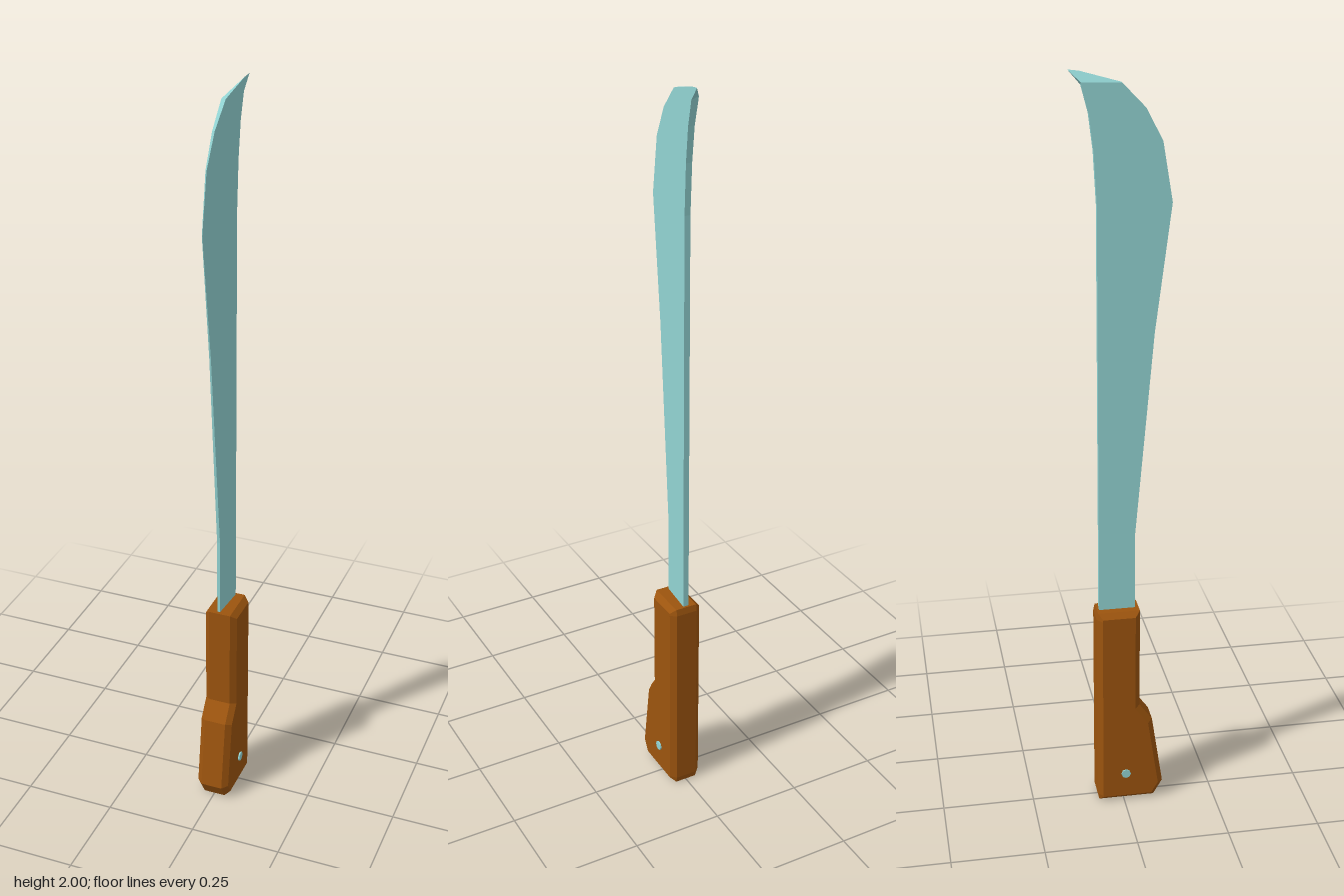
import * as THREE from 'three';

// Extrudes a side outline of [z, y] points across x, centred on x = 0
function sideExtrude(points, depth, options = {}) {
  const shape = new THREE.Shape(points.map(([z, y]) => new THREE.Vector2(z, y)));
  const geometry = new THREE.ExtrudeGeometry(shape, { depth, bevelEnabled: false, ...options });
  geometry.translate(0, 0, -depth / 2);
  geometry.rotateY(-Math.PI / 2);
  return geometry;
}

export function createModel() {
  const steel = new THREE.MeshStandardMaterial({ color: 0x92d4d3 });
  steel.name = 'pale steel';
  const wood = new THREE.MeshStandardMaterial({ color: 0x9c540e });
  wood.name = 'brown wood';

  const group = new THREE.Group();
  group.name = 'machete';
  const add = (name, geometry, material) => {
    const mesh = new THREE.Mesh(geometry, material);
    mesh.name = name;
    group.add(mesh);
    return mesh;
  };

  // Blade: flat on one side, the other slopes from thick spine to thin edge
  const bladeGeometry = sideExtrude([
    [-0.062, 0.5], [0.035, 0.5], [0.035, 0.8], [0.083, 1.35], [0.125, 1.68],
    [0.1, 1.83], [0.058, 1.91], [0, 1.97], [-0.1, 1.997], [-0.127, 2],
    [-0.097, 1.965], [-0.08, 1.9], [-0.069, 1.81], [-0.062, 1.68],
  ], 1);
  const p = bladeGeometry.attributes.position;
  for (let i = 0; i < p.count; i++) {
    const z = p.getZ(i);
    if (p.getX(i) > 0) {
      p.setX(i, Math.max(-0.0095, 0.001 - 0.08 * z));
    } else {
      p.setX(i, -0.01);
      // The flat side stops short of the swept tip
      if (z < -0.098) p.setXYZ(i, -0.01, 1.972, -0.098);
    }
  }
  bladeGeometry.computeVertexNormals();
  add('blade', bladeGeometry, steel);

  // Handle: chamfered grip with a swelling heel
  add('handle', sideExtrude([
    [-0.072, 0.022], [-0.068, 0.005], [0.085, 0.005], [0.11, 0.048], [0.08, 0.25],
    [0.045, 0.298], [0.045, 0.588], [-0.068, 0.588], [-0.072, 0.57],
  ], 0.06, {
    bevelEnabled: true, bevelSegments: 1,
    bevelSize: 0.014, bevelThickness: 0.015, bevelOffset: -0.014,
  }), wood);

  // Rivet through the heel, showing on both sides
  const rivet = add('rivet', new THREE.CylinderGeometry(0.013, 0.013, 0.098, 8), steel);
  rivet.material = steel;
  rivet.geometry = rivet.geometry.toNonIndexed();
  rivet.geometry.computeVertexNormals();
  rivet.rotation.z = Math.PI / 2;
  rivet.position.set(0, 0.085, 0.005);

  // Stand the handle base on the ground
  group.children.forEach((mesh) => {
    if (mesh.name === 'handle') {
      mesh.geometry.translate(0, -0.005, 0);
    }
  });
  return group;
}
